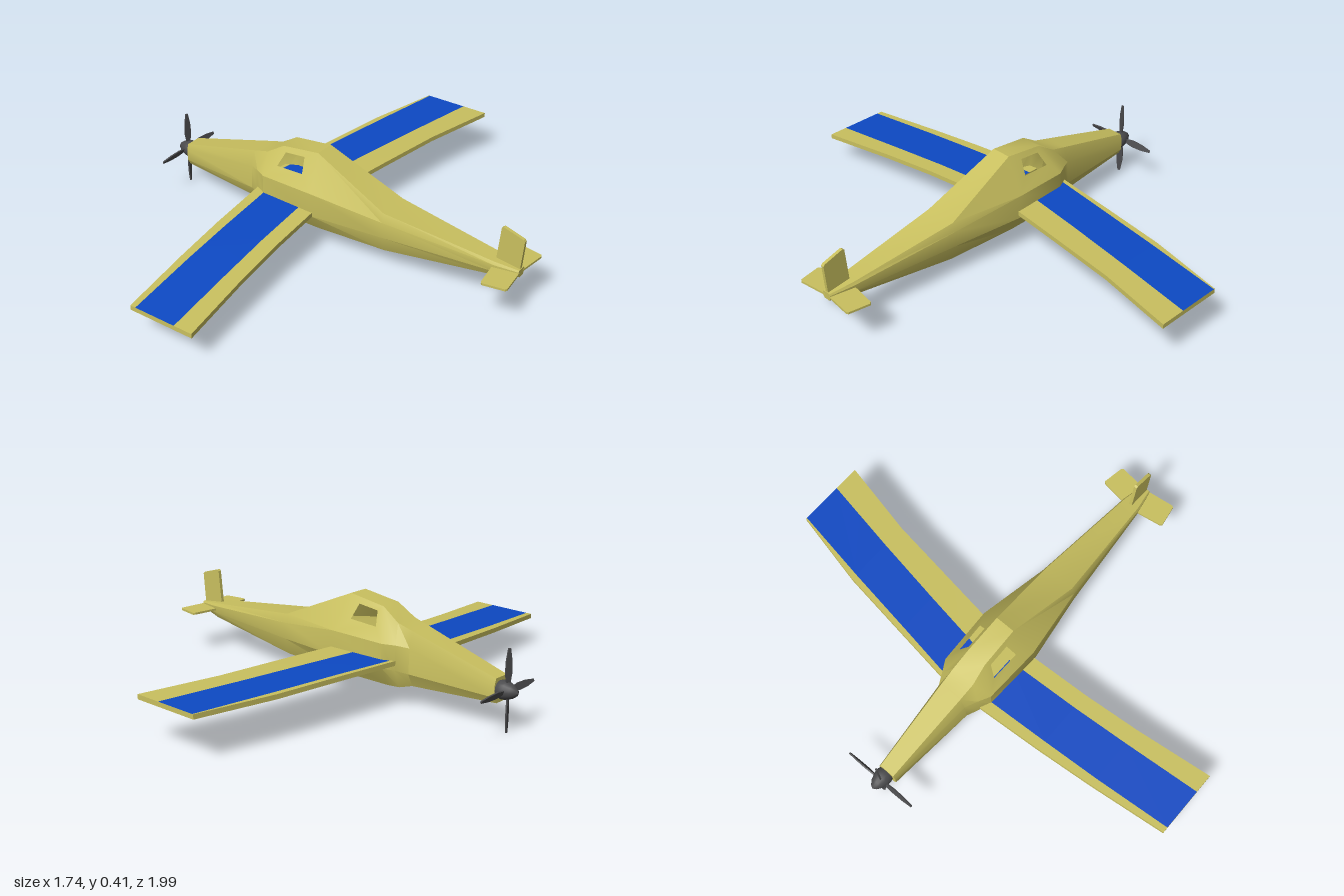
import * as THREE from 'three';
import { toCreasedNormals } from 'three/addons/utils/BufferGeometryUtils.js';

const V = (x, y, z) => new THREE.Vector3(x, y, z);
const yellow = new THREE.MeshStandardMaterial({ name: 'olive yellow', color: 0xc9c05f, side: THREE.DoubleSide });
const blue = new THREE.MeshStandardMaterial({ name: 'stripe blue', color: 0x0d49c4, side: THREE.DoubleSide });
const dark = new THREE.MeshStandardMaterial({ name: 'propeller grey', color: 0x4b4b4d, side: THREE.DoubleSide });

const quad = (a, b, c, d) => [a, b, c, a, c, d];

// Skins a row of cross-sections; pick(ring, side) chooses the panels to keep
function loft(rings, pick = () => true, caps = true) {
  const tris = [];
  const n = rings[0].length;
  for (let r = 0; r < rings.length - 1; r++) {
    for (let i = 0; i < n; i++) {
      if (!pick(r, i)) continue;
      const a = rings[r], b = rings[r + 1], k = (i + 1) % n;
      tris.push(...quad(a[i], a[k], b[k], b[i]));
    }
  }
  if (caps) {
    const first = rings[0], last = rings[rings.length - 1];
    for (let i = 1; i < n - 1; i++) {
      tris.push(first[0], first[i + 1], first[i], last[0], last[i], last[i + 1]);
    }
  }
  return tris;
}

function mesh(name, tris, material, crease = 0.4) {
  const g = new THREE.BufferGeometry().setFromPoints(tris);
  g.computeVertexNormals();
  const m = new THREE.Mesh(toCreasedNormals(g, crease), material);
  m.name = name;
  return m;
}

// Flat plate extruded symmetrically about its own plane
function plate(name, points, thickness, material) {
  const shape = new THREE.Shape(points.map(([x, y]) => new THREE.Vector2(x, y)));
  const g = new THREE.ExtrudeGeometry(shape, { depth: thickness, bevelEnabled: false });
  g.translate(0, 0, -thickness / 2);
  const m = new THREE.Mesh(g, material);
  m.name = name;
  return m;
}

function createFuselage() {
  const zc = 0.01;
  // top x, top y, top half-width | side x | upper y, half-width | lower y, half-width | bottom y, half-width
  const stations = [
    [-0.79, 0.215, 0.034, -0.79, 0.19, 0.042, 0.14, 0.042, 0.115, 0.028],
    [-0.40, 0.32, 0.05, -0.40, 0.255, 0.07, 0.15, 0.075, 0.095, 0.05],
    [-0.325, 0.34, 0.052, -0.35, 0.262, 0.095, 0.16, 0.1, 0.083, 0.07],
    [-0.245, 0.39, 0.045, -0.30, 0.265, 0.122, 0.165, 0.122, 0.083, 0.08],
    [-0.07, 0.412, 0.043, -0.05, 0.27, 0.132, 0.165, 0.132, 0.083, 0.082],
    [0.27, 0.262, 0.07, 0.27, 0.225, 0.083, 0.155, 0.083, 0.083, 0.06],
    [0.755, 0.207, 0.035, 0.755, 0.195, 0.042, 0.165, 0.04, 0.14, 0.026],
    [0.855, 0.195, 0.018, 0.855, 0.188, 0.022, 0.175, 0.022, 0.163, 0.014],
  ];
  const rings = stations.map(([xt, yt, t, xs, yu, wu, yl, wl, yb, b]) => {
    const half = [[xt, yt, t], [xs, yu, wu], [xs, yl, wl], [xs, yb, b]];
    return [
      ...half.map(([x, y, w]) => V(x, y, zc + w)),
      ...half.reverse().map(([x, y, w]) => V(x, y, zc - w)),
    ];
  });
  // Leave out the two cockpit panels (sides 0 and 6), then frame an open window in each
  const tris = loft(rings, (r, i) => !(r === 3 && (i === 0 || i === 6)));
  const hole = [[0.15, 0.4], [0.74, 0.4], [0.67, 0.83], [0.16, 0.83]];
  const frame = [[0, 0], [1, 0], [1, 1], [0, 1]];
  for (const [top, low] of [[0, 1], [7, 6]]) {
    const at = ([u, v]) => rings[3][low].clone().lerp(rings[4][low], u)
      .lerp(rings[3][top].clone().lerp(rings[4][top], u), v);
    for (let i = 0; i < 4; i++) {
      const k = (i + 1) % 4;
      const q = [frame[i], frame[k], hole[k], hole[i]].map(at);
      if (top === 7) q.reverse();
      tris.push(...quad(...q));
    }
  }
  return mesh('fuselage', tris, yellow, 0.45);
}

// Wing stations run from high z to low z: z, leading x, stripe start, stripe end, trailing x, top y
function createWing(name, stations) {
  const group = new THREE.Group();
  group.name = name;
  const thick = 0.02;
  const rings = stations.map(([z, x0, s0, s1, x1, y]) => [
    V(x0, y, z), V(s0, y, z), V(s1, y, z), V(x1, y, z), V(x1, y - thick, z), V(x0, y - thick, z),
  ]);
  group.add(mesh('wingPanel', loft(rings, (r, i) => i !== 1), yellow));
  group.add(mesh('wingStripe', loft(rings, (r, i) => i === 1, false), blue));
  return group;
}

function createTail() {
  const group = new THREE.Group();
  group.name = 'tail';
  const fin = plate('tailFin', [
    [0.745, 0.18], [0.85, 0.17], [0.863, 0.32], [0.857, 0.328], [0.77, 0.354], [0.762, 0.348],
  ], 0.014, yellow);
  fin.position.z = 0.01;
  group.add(fin);
  // Both tailplane halves share one outline
  const half = [[0.745, 0.02], [0.765, 0.15], [0.772, 0.158], [0.865, 0.142], [0.87, 0.134], [0.855, 0.01]];
  const outline = [...half, ...half.map(([x, z]) => [x, -z]).reverse()];
  const plane = plate('tailplane', outline, 0.009, yellow);
  plane.rotation.x = Math.PI / 2;
  plane.position.set(0, 0.18, 0.01);
  group.add(plane);
  return group;
}

function createPropeller() {
  const group = new THREE.Group();
  group.name = 'propeller';
  // Rounded spinner, tip towards -x
  const profile = [[0.034, 0], [0.038, 0.015], [0.036, 0.035], [0.027, 0.06], [0.014, 0.078], [0, 0.086]];
  const spinner = new THREE.Mesh(
    new THREE.LatheGeometry(profile.map(([r, h]) => new THREE.Vector2(r, h)), 16), dark);
  spinner.name = 'spinner';
  spinner.rotation.z = Math.PI / 2;
  spinner.position.x = -0.788;
  group.add(spinner);
  // Four twisted blades
  for (let i = 0; i < 4; i++) {
    const blade = plate('propellerBlade', [
      [-0.007, 0.02], [0.007, 0.02], [0.015, 0.07], [0.013, 0.12], [0.005, 0.167], [-0.005, 0.167],
      [-0.013, 0.12], [-0.015, 0.07],
    ], 0.006, dark);
    blade.rotation.y = Math.PI / 2 - 0.35;
    const arm = new THREE.Group();
    arm.name = 'bladeArm';
    arm.add(blade);
    arm.rotation.x = i * Math.PI / 2;
    arm.position.x = -0.826;
    group.add(arm);
  }
  group.position.set(0, 0.168, 0.003);
  return group;
}

export function createModel() {
  const model = new THREE.Group();
  model.name = 'airplane';
  model.add(createFuselage());
  model.add(createWing('nearWing', [
    [0.99, -0.25, -0.225, -0.035, 0.05, 0.135],
    [0.65, -0.295, -0.26, -0.07, 0.003, 0.155],
    [0.4, -0.322, -0.28, -0.093, -0.023, 0.17],
    [0.07, -0.35, -0.303, -0.115, -0.045, 0.187],
  ]));
  model.add(createWing('farWing', [
    [-0.05, -0.357, -0.34, -0.165, -0.05, 0.2],
    [-0.35, -0.317, -0.295, -0.12, -0.01, 0.2],
    [-0.66, -0.275, -0.25, -0.07, 0.032, 0.198],
    [-1, -0.2, -0.195, -0.01, 0.105, 0.196],
  ]));
  model.add(createTail());
  model.add(createPropeller());
  return model;
}
